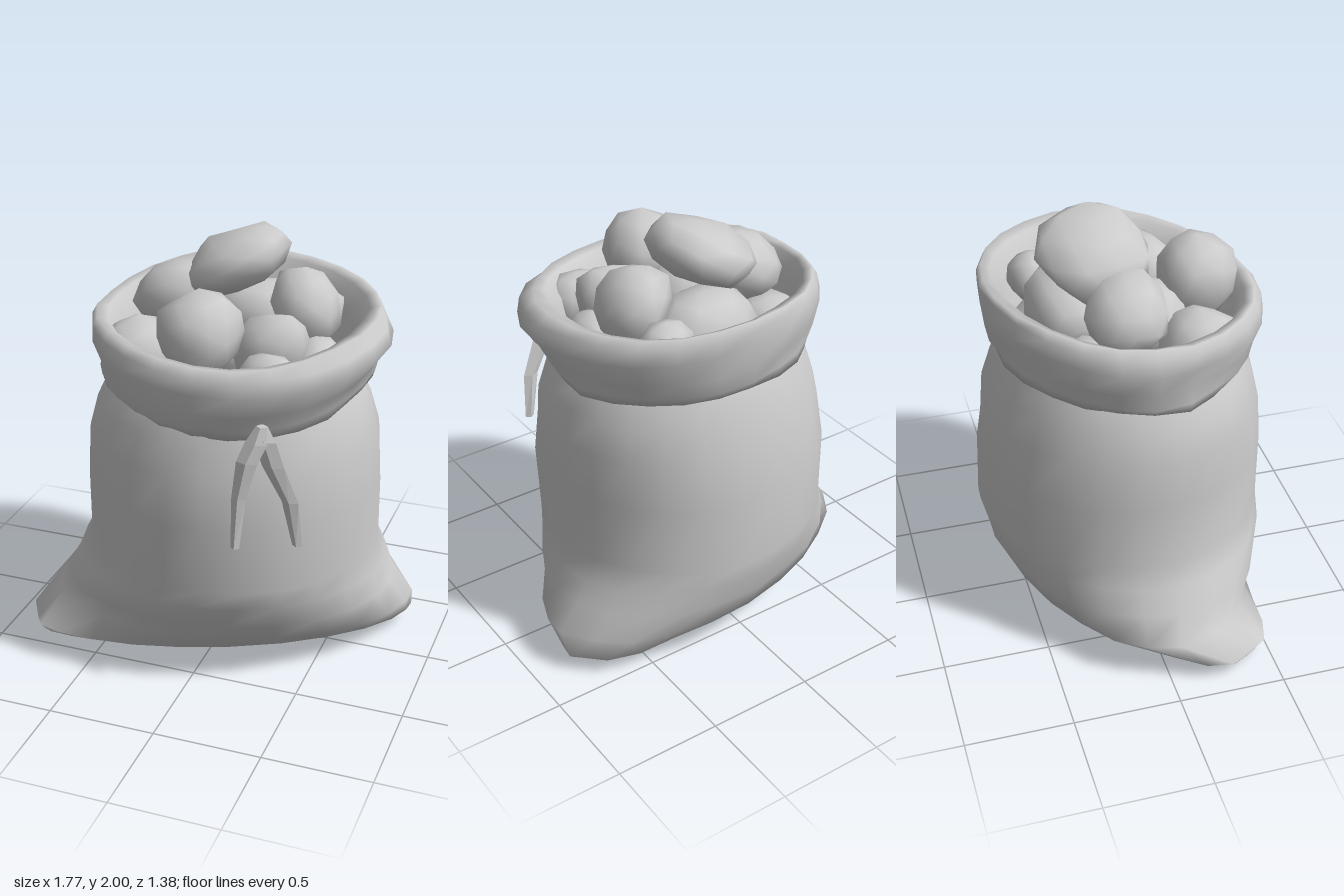
import * as THREE from 'three';
import { mergeVertices } from 'three/addons/utils/BufferGeometryUtils.js';

const SEG = 24;
const wave = (n) => { const s = Math.sin(n * 127.1 + 3.7) * 43758.5453; return (s - Math.floor(s)) * 2 - 1; };

// Skin a list of closed rings (ordered bottom to top, each an array of Vector3)
function loft(rings) {
  const n = rings[0].length, index = [];
  for (let i = 0; i < rings.length - 1; i++) {
    for (let j = 0; j < n; j++) {
      const a = i * n + j, b = i * n + (j + 1) % n;
      index.push(a, a + n, b, b, a + n, b + n);
    }
  }
  const g = new THREE.BufferGeometry().setFromPoints(rings.flat());
  g.setIndex(index);
  g.computeVertexNormals();
  return g;
}

// Oval ring turned by dir; k > 0 pinches the front half, squares the back half and leans it to the right
function bodyRing([y, cx, cz, a, front, back, k, dir], id) {
  const ring = [];
  for (let j = 0; j < SEG; j++) {
    const t = j / SEG * Math.PI * 2, c = Math.cos(t), s = Math.sin(t);
    const w = 1 + 0.01 * wave(id * 3 + j);
    const v = s > 0 ? front * s ** (1 + k) * w : -back * Math.abs(s) ** (1 - k) * w;
    const u = a * c * w + k * Math.min(v, 0);
    ring.push(new THREE.Vector3(
      cx + u * Math.cos(dir) - v * Math.sin(dir),
      y,
      cz + u * Math.sin(dir) + v * Math.cos(dir)));
  }
  return ring;
}

// Cuff ring: tilt lowers the front, flare pushes out two folds at the sides
function cuffRing([y, cx, cz, rx, rz, tilt, flare], id) {
  const ring = [];
  for (let j = 0; j < SEG; j++) {
    const t = j / SEG * Math.PI * 2, c = Math.cos(t), s = Math.sin(t);
    const bump = (at) => Math.max(0, 1 - Math.abs(Math.atan2(Math.sin(t - at), Math.cos(t - at))) / 0.4);
    const w = 1 + 0.02 * wave(id * 5 + Math.floor(j / 2) * 7) + flare * (bump(-0.3) + bump(2.95));
    ring.push(new THREE.Vector3(cx + rx * c * w, y - tilt * s + 0.012 * Math.sin(3 * t + 1), cz + rz * s * w));
  }
  return ring;
}

// Lumpy low-poly potato with blunt ends, slanted along x by shear
function lump(seed, shear) {
  let g = new THREE.IcosahedronGeometry(1, 1);
  g.deleteAttribute('normal');
  g.deleteAttribute('uv');
  g = mergeVertices(g, 1e-3);
  const p = g.attributes.position;
  for (let i = 0; i < p.count; i++) {
    const f = 1 + 0.09 * wave(seed * 50 + i);
    const x = THREE.MathUtils.clamp(p.getX(i) * f, -0.85, 0.85);
    p.setXYZ(i, x, p.getY(i) * f + shear * x, p.getZ(i) * f);
  }
  g.computeVertexNormals();
  return g;
}

// Flat cord end following points [x, y, z, width], bottom to top
function cord(points) {
  const rings = points.map(([x, y, z, w]) => [[1, 0], [0, 1], [-1, 0], [0, -1]].map(
    ([c, s]) => new THREE.Vector3(x + c * w / 2, y, z + s * 0.016)));
  const cap = (r) => r.map(() => r.reduce((m, v) => m.add(v), new THREE.Vector3()).multiplyScalar(0.25));
  return loft([cap(rings[0]), ...rings, cap(rings[rings.length - 1])]);
}

export function createModel() {
  const group = new THREE.Group();
  const smooth = new THREE.MeshStandardMaterial({ color: 0xcccccc, side: THREE.DoubleSide });
  const flat = new THREE.MeshStandardMaterial({ color: 0xcccccc, side: THREE.DoubleSide, flatShading: true });
  const add = (name, geometry, material = smooth) => {
    const m = new THREE.Mesh(geometry, material);
    m.name = name;
    group.add(m);
    return m;
  };

  // Sack body: y, centre x, centre z, half length, front depth, back depth, pinch, turn
  add('sackBody', loft([
    [0.0, 0.22, 0.04, 0.001, 0.001, 0.001, 0, -0.42],
    [0.015, 0.1, 0.04, 0.45, 0.12, 0.22, 0.2, -0.42],
    [0.035, -0.01, 0.06, 0.87, 0.21, 0.38, 0.28, -0.44],
    [0.08, -0.005, 0.05, 0.92, 0.33, 0.44, 0.25, -0.42],
    [0.19, 0.015, -0.03, 0.86, 0.5, 0.55, 0.12, -0.28],
    [0.31, 0.005, -0.02, 0.79, 0.59, 0.61, 0.03, -0.32],
    [0.43, 0.01, -0.02, 0.735, 0.635, 0.645, 0, -0.35],
    [0.53, 0.02, -0.02, 0.69, 0.655, 0.665, 0, -0.39],
    [0.85, 0.02, -0.015, 0.685, 0.665, 0.665, 0, -0.39],
    [1.08, 0.02, -0.01, 0.67, 0.635, 0.635, 0, -0.39],
    [1.23, 0.02, -0.01, 0.63, 0.59, 0.59, 0, -0.39],
    [1.33, 0.025, -0.01, 0.58, 0.56, 0.56, 0, -0.39],
    [1.38, 0.025, -0.01, 0.55, 0.53, 0.53, 0, -0.39],
  ].map(bodyRing)));

  // Rolled cuff, over the rim and down the inside behind the potatoes
  add('cuff', loft([
    [1.37, 0.025, -0.01, 0.55, 0.53, 0.04, 0],
    [1.315, 0.03, -0.01, 0.59, 0.575, 0.05, 0.07],
    [1.36, 0.03, -0.005, 0.605, 0.595, 0.05, 0.07],
    [1.44, 0.04, 0.005, 0.635, 0.62, 0.05, 0],
    [1.55, 0.05, 0.0, 0.685, 0.64, 0.06, 0],
    [1.62, 0.05, 0.0, 0.67, 0.63, 0.06, 0],
    [1.66, 0.04, -0.005, 0.635, 0.61, 0.06, 0],
    [1.645, 0.035, -0.01, 0.585, 0.57, 0.055, 0],
    [1.54, 0.03, -0.01, 0.54, 0.52, 0.03, 0],
    [1.42, 0.03, -0.01, 0.5, 0.48, 0, 0],
  ].map(cuffRing)));

  // Potatoes: centre, radii, shear
  [
    [-0.01, 1.825, -0.13, 0.25, 0.15, 0.25, 0.5],
    [-0.02, 1.64, 0.34, 0.2, 0.19, 0.19, 0],
    [0.25, 1.54, 0.17, 0.18, 0.17, 0.15, 0.2],
    [0.32, 1.66, -0.11, 0.17, 0.17, 0.18, -0.2],
    [-0.28, 1.66, -0.06, 0.21, 0.17, 0.19, 0.2],
    [-0.33, 1.49, 0.26, 0.19, 0.16, 0.18, 0],
    [0.31, 1.47, 0.38, 0.16, 0.13, 0.11, 0],
    [0.31, 1.55, -0.35, 0.13, 0.12, 0.11, 0],
    [-0.1, 1.52, 0.1, 0.22, 0.17, 0.17, 0],
    [0.05, 1.53, -0.25, 0.27, 0.17, 0.19, 0],
    [0.42, 1.44, 0.05, 0.13, 0.13, 0.16, 0],
    [-0.33, 1.42, -0.24, 0.18, 0.14, 0.16, 0],
  ].forEach(([x, y, z, rx, ry, rz, shear], i) => {
    const m = add('potato' + (i + 1), lump(i + 1, shear));
    m.position.set(x, y, z);
    m.scale.set(rx, ry, rz);
  });

  // Two loose ends of the tie
  add('tieEndRight', cord([
    [0.265, 0.815, 0.68, 0.04], [0.27, 1.04, 0.65, 0.065],
    [0.295, 1.2, 0.62, 0.095], [0.325, 1.28, 0.59, 0.1], [0.34, 1.35, 0.56, 0.05],
  ]), flat);
  add('tieEndLeft', cord([
    [0.505, 0.805, 0.55, 0.045], [0.475, 1.02, 0.57, 0.075],
    [0.4, 1.18, 0.58, 0.1], [0.36, 1.29, 0.575, 0.1], [0.34, 1.35, 0.55, 0.05],
  ]), flat);

  return group;
}
